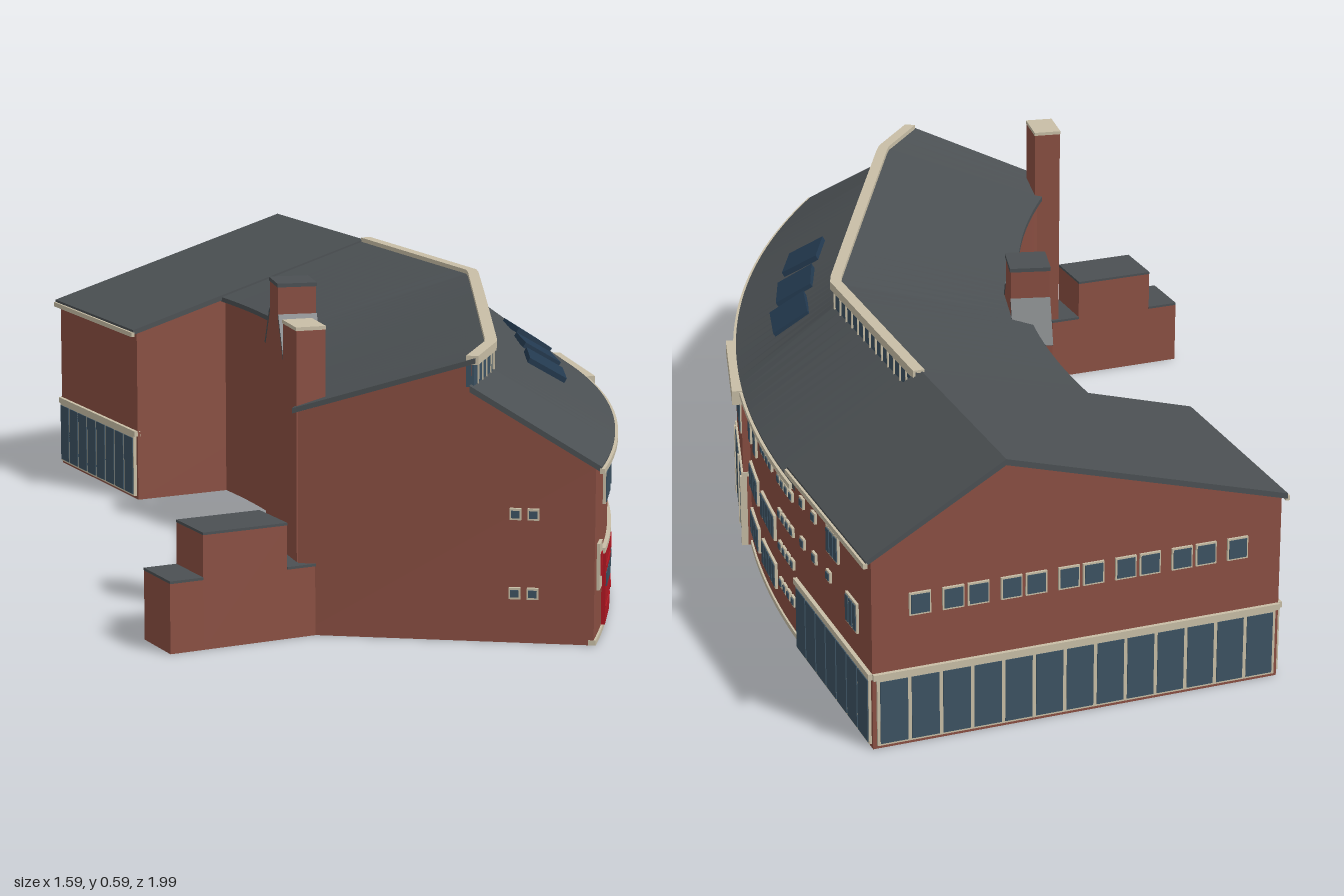
import * as THREE from 'three';

const DEG = Math.PI / 180;
const CX = -1.67, CZ = -0.871;            // centre of the curved plan
const A0 = 10.8, RO = 2.4;                // start angle, outer wall radius
const mat = (color) => new THREE.MeshStandardMaterial({ color });
const brick = mat(0x8a4f42), roofGrey = mat(0x4b5053), glass = mat(0x3c5262);
const cream = mat(0xc8bea6), red = mat(0xb01722), skyGlass = mat(0x233a50);

const polar = (r, a) => [CX + r * Math.cos(a * DEG), CZ + r * Math.sin(a * DEG)];

// Radius of the kinked ridge line at a given angle
const RIDGE = [[10.7, 2.158], [24.04, 2.212], [45.76, 2.179], [50.07, 2.166]];
function ridge(a) {
  let i = 0;
  while (i < 2 && a > RIDGE[i + 1][0]) i++;
  const [[a1, r1], [a2, r2]] = [RIDGE[i], RIDGE[i + 1]];
  return r1 * r2 * Math.sin((a2 - a1) * DEG) /
    (r1 * Math.sin((a - a1) * DEG) + r2 * Math.sin((a2 - a) * DEG));
}

// Sweeps a counter-clockwise (radius, height) section along the curved plan
function sweep(section, s0 = 0, s1 = 1, n = 48) {
  const rings = [], flat = [];
  for (let i = 0; i <= n; i++) {
    const s = s0 + (s1 - s0) * i / n;
    const rd = ridge(A0 + 39.2 * s);
    const pts = section(rd, 1.81 + 0.03 * s);
    flat.push(pts);
    rings.push(pts.map(([r, y]) => {
      const [x, z] = polar(r, A0 + (38.95 + (RO - r) * 2.2) * s);
      return [x, y, z];
    }));
  }
  const pos = [], tri = (...v) => v.forEach((p) => pos.push(...p));
  for (let i = 0; i < n; i++) {
    const m = rings[i].length;
    for (let j = 0; j < m; j++) {
      const k = (j + 1) % m, A = rings[i], B = rings[i + 1];
      tri(A[j], A[k], B[k]);
      tri(A[j], B[k], B[j]);
    }
  }
  const caps = THREE.ShapeUtils.triangulateShape(flat[0].map((p) => new THREE.Vector2(...p)), []);
  for (const [a, b, c] of caps) {
    tri(rings[n][a], rings[n][b], rings[n][c]);
    tri(rings[0][c], rings[0][b], rings[0][a]);
  }
  const g = new THREE.BufferGeometry();
  g.setAttribute('position', new THREE.Float32BufferAttribute(pos, 3));
  g.computeVertexNormals();
  return g;
}

export function createModel() {
  const root = new THREE.Group();
  root.name = 'building';
  const add = (name, geo, m, parent = root) => {
    const mesh = new THREE.Mesh(geo, m);
    mesh.name = name;
    parent.add(mesh);
    return mesh;
  };
  // Group whose x axis points outwards and z axis runs along the curve
  const frame = (name, x, z, a) => {
    const g = new THREE.Group();
    g.name = name;
    g.position.set(x, 0, z);
    g.rotation.y = -a * DEG;
    root.add(g);
    return g;
  };
  const onWall = (name, a, r = RO) => frame(name, ...polar(r, a), a);
  const box = (name, parent, m, dx, dy, dz, x, y, z) =>
    add(name, new THREE.BoxGeometry(dx, dy, dz), m, parent).position.set(x, y, z);
  const extrude = (name, parent, m, pts, depth, z) => {
    const shape = new THREE.Shape(pts.map((p) => new THREE.Vector2(...p)));
    const mesh = add(name, new THREE.ExtrudeGeometry(shape, { depth, bevelEnabled: false }), m, parent);
    mesh.position.z = z;
    return mesh;
  };
  // Framed window facing +x, divided into panes
  const windowUnit = (g, x, y, z, w, h, panes = 1, m = glass) => {
    box('windowFrame', g, cream, 0.01, h, w, x, y, z);
    const p = w / panes;
    for (let i = 0; i < panes; i++)
      box('windowPane', g, m, 0.012, h - 0.008, p - 0.006, x + 0.001, y, z - w / 2 + p * (i + 0.5));
  };

  // Curved main wing
  add('mainWalls', sweep((rd, ri) => [[ri, 0], [RO, 0], [RO, 0.342], [rd, 0.485], [rd, 0.535], [ri, 0.432]]), brick);
  add('outerRoof', sweep((rd) => [[rd, 0.483], [RO + 0.013, 0.337], [RO + 0.013, 0.348], [rd, 0.495]], 0, 1.01), roofGrey);
  add('innerRoof', sweep((rd, ri) => [[ri - 0.01, 0.43], [rd + 0.008, 0.535], [rd + 0.008, 0.545], [ri - 0.01, 0.44]], 0, 1.004), roofGrey);
  add('gutter', sweep(() => [[RO + 0.01, 0.335], [RO + 0.019, 0.335], [RO + 0.019, 0.345], [RO + 0.01, 0.345]], 0.01, 1.012), cream);
  add('plinth', sweep(() => [[RO - 0.01, 0], [RO + 0.004, 0], [RO + 0.004, 0.01], [RO - 0.01, 0.01]]), cream);
  add('clerestoryGlass', sweep((rd) => [[rd - 0.01, 0.49], [rd + 0.005, 0.49], [rd + 0.005, 0.532], [rd - 0.01, 0.532]]), glass);
  add('clerestoryFascia', sweep((rd) => [[rd - 0.01, 0.532], [rd + 0.013, 0.532], [rd + 0.013, 0.549], [rd - 0.01, 0.549]]), cream);
  for (let a = A0 + 0.6; a < 50; a += 0.95)
    box('clerestoryMullion', onWall('clerestoryBay', a, ridge(a)), cream, 0.006, 0.042, 0.004, 0.005, 0.512, 0);

  // Appliance bays: red door below, window above
  for (let i = 0; i < 5; i++) {
    const g = onWall('vehicleBay', 45.5 - 3.8 * i);
    box('vehicleDoor', g, red, 0.014, 0.145, 0.122, 0, 0.083, 0);
    for (let j = 0; j < 4; j++)
      box('doorLight', g, glass, 0.016, 0.026, 0.021, 0.001, 0.097, -0.042 + 0.028 * j);
    for (const y of [0.045, 0.125]) box('doorRib', g, red, 0.018, 0.003, 0.12, 0, y, 0);
    windowUnit(g, 0, 0.278, 0, 0.118, 0.064, 4);
  }
  add('doorLintel', sweep(() => [[RO - 0.01, 0.155], [RO + 0.008, 0.155], [RO + 0.008, 0.165], [RO - 0.01, 0.165]], 0.46, 0.94), cream);
  const board = onWall('wallPanel', 48.6);
  box('panelBack', board, cream, 0.012, 0.09, 0.04, 0, 0.145, 0);
  box('panelInset', board, red, 0.016, 0.045, 0.018, 0, 0.148, 0);

  // Entrance bay with canopy
  const entry = onWall('entrance', 25.6);
  box('entranceBody', entry, brick, 0.1, 0.32, 0.265, -0.038, 0.16, 0);
  windowUnit(entry, 0.01, 0.283, 0, 0.262, 0.066, 5);
  windowUnit(entry, 0.01, 0.08, 0.06, 0.13, 0.15, 3);
  windowUnit(entry, 0.01, 0.08, -0.085, 0.08, 0.15, 3);
  box('entranceBand', entry, cream, 0.02, 0.01, 0.27, 0.006, 0.16, 0);
  for (const z of [-0.13, -0.022, 0.13]) box('entrancePost', entry, cream, 0.014, 0.155, 0.01, 0.012, 0.078, z);
  box('canopy', entry, cream, 0.085, 0.03, 0.275, -0.012, 0.332, 0);

  // Office windows beyond the entrance
  for (const [a, w, n] of [[20.5, 0.108, 4], [16.7, 0.125, 5]])
    for (const y of [0.175, 0.07]) windowUnit(onWall('officeWindow', a), 0, y, 0, w, 0.055, n);
  for (const a of [21.5, 19.8]) windowUnit(onWall('tallWindow', a), 0, 0.28, 0, 0.026, 0.062);
  for (let i = 0; i < 4; i++) {
    windowUnit(onWall('smallWindow', 15.8 + 0.65 * i), 0, 0.3, 0, 0.02, 0.02);
    for (const y of [0.3, 0.225, 0.155, 0.075])
      windowUnit(onWall('smallWindow', 12.2 + 0.68 * i), 0, y, 0, 0.02, 0.02);
  }

  // Skylights lying on the outer roof
  for (const a of [27.4, 31.5, 35.8]) {
    const rd = ridge(a), r = (rd + RO + 0.013) / 2;
    const g = onWall('skylight', a, r);
    const mesh = add('skylightGlass', new THREE.BoxGeometry(0.085, 0.012, 0.118), skyGlass, g);
    mesh.position.y = 0.427;
    mesh.rotation.z = -Math.atan2(0.147, RO + 0.013 - rd);
    // follow the straight ridge as the eave curves
    mesh.rotation.y = -(a - 33) * 0.4 * DEG;
  }

  // Gabled end block, section in (radius, height)
  const block = frame('endBlock', CX, CZ, A0);
  const W = 1.595, E = 2.413, P = 2.153, D = 0.435;
  extrude('blockWalls', block, brick, [[W, 0], [E, 0], [E, 0.382], [P, 0.535], [W, 0.375]], D, -D);
  extrude('blockEastRoof', block, roofGrey, [[P, 0.533], [E + 0.012, 0.377], [E + 0.012, 0.387], [P, 0.545]], D + 0.015, -D - 0.006);
  extrude('blockWestRoof', block, roofGrey, [[W - 0.01, 0.372], [P, 0.533], [P, 0.545], [W - 0.01, 0.383]], D + 0.01, -D - 0.006);
  box('eastGutter', block, cream, 0.008, 0.01, D + 0.015, E + 0.013, 0.378, -D / 2);
  box('westGutter', block, cream, 0.008, 0.01, D + 0.01, W - 0.011, 0.373, -D / 2);
  windowUnit(block, E, 0.075, -D / 2, D - 0.015, 0.135, 7);
  windowUnit(block, W - 0.002, 0.075, -D / 2, D - 0.015, 0.135, 8);
  for (let i = 0; i < 8; i++)
    box('westPane', block, glass, 0.014, 0.127, 0.045, W - 0.002, 0.075, -D + 0.034 + i * 0.0525);
  for (const x of [W, E]) box('sideBand', block, cream, 0.016, 0.012, D, x, 0.149, -D / 2);
  box('rearBand', block, cream, E - W, 0.012, 0.016, (E + W) / 2, 0.149, -D);
  box('rearGlazingFrame', block, cream, E - W - 0.015, 0.135, 0.01, (E + W) / 2, 0.075, -D);
  for (let i = 0; i < 13; i++)
    box('rearPane', block, glass, 0.054, 0.127, 0.013, W + 0.04 + i * 0.0615, 0.075, -D);
  for (let i = 0; i < 12; i++) {
    const x = W + 0.09 + i * 0.057 + (i % 2) * 0.008;
    box('rearWindowFrame', block, cream, 0.042, 0.045, 0.009, x, 0.285, -D);
    box('rearWindowPane', block, glass, 0.036, 0.038, 0.012, x, 0.285, -D);
  }
  for (const [z, y] of [[-0.05, 0.335], [-0.12, 0.335], [-0.05, 0.25], [-0.12, 0.25], [-0.203, 0.25]])
    windowUnit(block, E, y, z, 0.022, 0.022);
  windowUnit(block, E, 0.327, -0.23, 0.065, 0.055, 3);
  windowUnit(block, E, 0.235, -0.334, 0.062, 0.06, 3);

  // Paired slots in the gable end of the curved wing
  for (const y of [0.25, 0.097])
    for (const d of [-0.012, 0.012]) {
      const g = frame('gableWindow', -0.213 + d, 0.867 + d, 45.5 - 90 + 180);
      windowUnit(g, 0.001, y, 0, 0.022, 0.022);
    }

  // Stair bump on the inner side
  const bump = onWall('stairBump', 25.7, 1.77);
  const shape = [[-0.1, 0], [0.1, 0], [0.1, 0.4], [0.045, 0.485], [0.045, 0.545], [-0.045, 0.545], [-0.045, 0.485], [-0.1, 0.4]];
  extrude('stairWalls', bump, brick, shape, 0.08, 0).rotation.y = Math.PI / 2;
  box('stairCap', bump, roofGrey, 0.084, 0.008, 0.094, 0.04, 0.548, 0);
  for (const s of [-1, 1]) {
    const slope = add('stairSideRoof', new THREE.BoxGeometry(0.082, 0.006, 0.1), roofGrey, bump);
    slope.position.set(0.04, 0.444, s * 0.0735);
    slope.rotation.x = s * Math.atan2(0.085, 0.055);
  }

  // Chimney at the inner corner
  const chimney = frame('chimney', -0.468, 0.52, 20);
  box('chimneyShaft', chimney, brick, 0.057, 0.585, 0.088, 0, 0.2925, 0);
  box('chimneyCap', chimney, cream, 0.059, 0.007, 0.09, 0, 0.589, 0);

  // Low stepped annex
  const annex = frame('annex', -0.63, 0.496, 10.5);
  for (const [x0, x1, h] of [[-0.148, -0.08, 0.135], [-0.08, 0.095, 0.221], [0.095, 0.16, 0.135]]) {
    box('annexWalls', annex, brick, x1 - x0, h, 0.118, (x0 + x1) / 2, h / 2, 0);
    box('annexRoof', annex, roofGrey, x1 - x0, 0.005, 0.12, (x0 + x1) / 2, h + 0.0025, 0);
  }
  return root;
}
